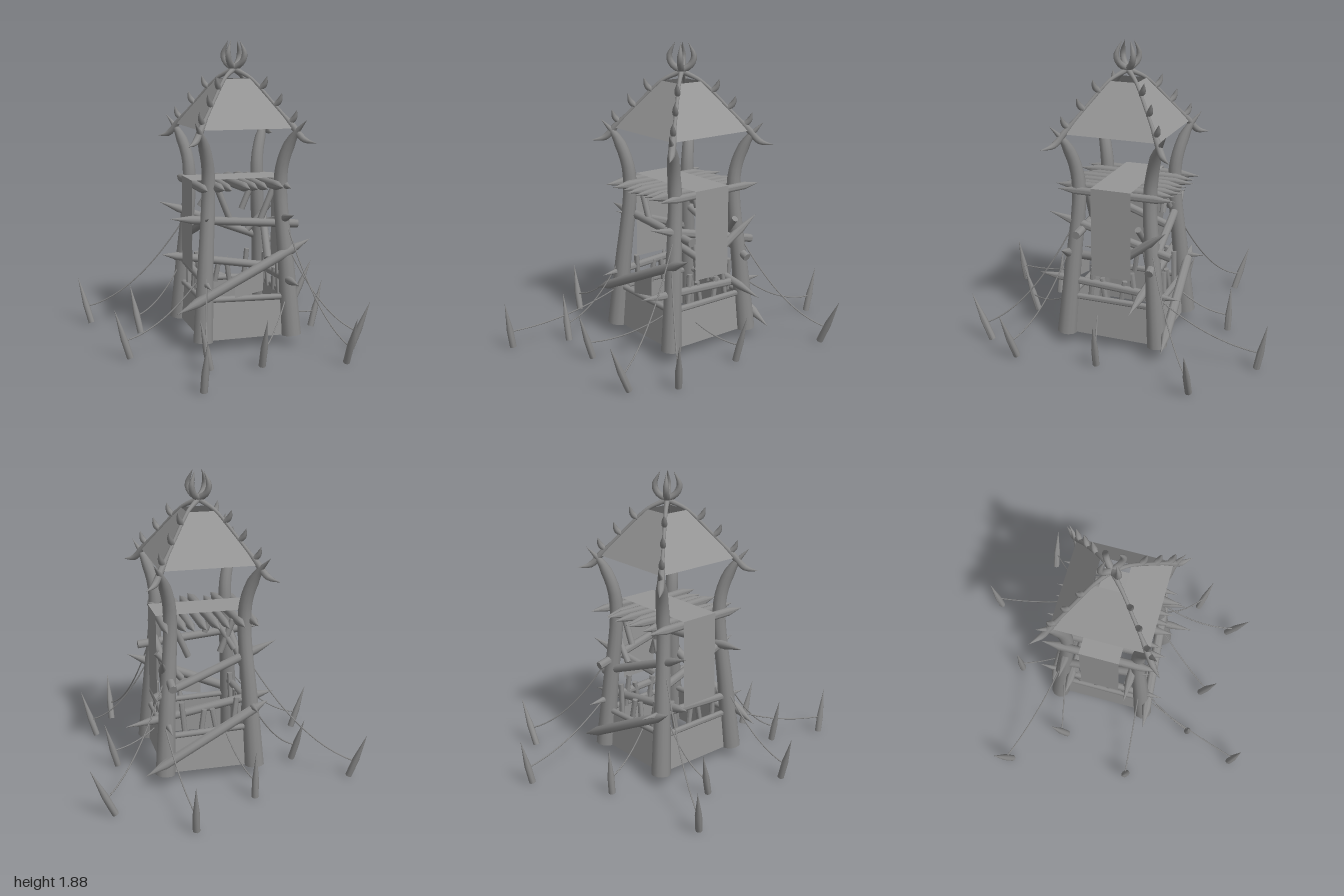
import * as THREE from 'three';
import { toCreasedNormals } from 'three/addons/utils/BufferGeometryUtils.js';

const CX = 0.065, CZ = -0.02; // tower axis
const V = (x, y, z) => new THREE.Vector3(x, y, z);
const wood = new THREE.MeshStandardMaterial({ color: 0x8a8a8a });
const hide = new THREE.MeshStandardMaterial({ color: 0x969696, side: THREE.DoubleSide, flatShading: true });

export function createModel() {
  const root = new THREE.Group();
  root.name = 'watchtower';

  function add(name, geometry, material = wood) {
    const mesh = new THREE.Mesh(geometry, material);
    mesh.name = name;
    root.add(mesh);
    return mesh;
  }

  // Straight log from a to b; tipA / tipB are the lengths of its sharpened ends
  function log(name, a, b, r, tipA = 0, tipB = 0) {
    const A = V(...a), dir = V(...b).sub(A), len = dir.length();
    const profile = [[0, 0], [r, tipA], [r, len - tipB], [0, len]].map(p => new THREE.Vector2(...p));
    const mesh = add(name, toCreasedNormals(new THREE.LatheGeometry(profile, 10), 0.7));
    mesh.position.copy(A);
    mesh.quaternion.setFromUnitVectors(V(0, 1, 0), dir.normalize());
  }

  // Curved limb whose radius is interpolated from a list along its length
  function limb(name, points, radii, steps = 28, sides = 12) {
    const curve = new THREE.CatmullRomCurve3(points);
    const geo = new THREE.TubeGeometry(curve, steps, 1, sides);
    const pos = geo.attributes.position, v = V(0, 0, 0);
    for (let i = 0; i <= steps; i++) {
      const c = curve.getPointAt(i / steps);
      const f = (i / steps) * (radii.length - 1), k = Math.min(Math.floor(f), radii.length - 2);
      const r = THREE.MathUtils.lerp(radii[k], radii[k + 1], f - k);
      for (let j = 0; j <= sides; j++) {
        const n = i * (sides + 1) + j;
        v.fromBufferAttribute(pos, n).sub(c).multiplyScalar(r).add(c);
        pos.setXYZ(n, v.x, v.y, v.z);
      }
    }
    add(name, geo);
  }

  // Four tusk-like legs, hip poles and thorns, one set per corner
  for (const sx of [-1, 1]) for (const sz of [-1, 1]) {
    const at = (h, y, hz = h) => V(CX + sx * h, y, CZ + sz * hz);
    limb('leg', [at(0.285, 0.07, 0.3), at(0.26, 0.5, 0.265), at(0.23, 0.98, 0.228), at(0.24, 1.15, 0.245),
      at(0.29, 1.31, 0.295), at(0.348, 1.41, 0.363)], [0.062, 0.057, 0.052, 0.047, 0.044, 0.042, 0.036, 0]);
    const cap = add('legFoot', new THREE.CircleGeometry(0.062, 12));
    cap.rotation.x = Math.PI / 2;
    cap.position.copy(at(0.285, 0.071, 0.3));

    limb('hipPole', [at(0.4, 1.27), at(0.34, 1.29), at(0.29, 1.362), at(0.19, 1.507), at(0.085, 1.65), at(0.01, 1.705),
      at(-0.04, 1.75), at(-0.053, 1.8), at(-0.028, 1.885)],
    [0, 0.021, 0.021, 0.012, 0.011, 0.011, 0.011, 0.014, 0.021, 0.019, 0], 44, 8);

    for (const y of [1.385, 1.485, 1.585]) {
      const h = 0.29 - (y - 1.355) * 0.71;
      limb('hipThorn', [at(h, y), at(h + 0.024, y + 0.034), at(h + 0.036, y + 0.082)], [0.01, 0.02, 0.014, 0], 8, 8);
    }
  }

  // Roof hides and plank skirt: open four-sided frustums
  const frustum = (name, top, bottom, y0, y1, zScale) => {
    const geo = new THREE.CylinderGeometry(top * Math.SQRT2, bottom * Math.SQRT2, y1 - y0, 4, 1, true);
    geo.rotateY(Math.PI / 4).scale(1, 1, zScale).translate(CX, (y0 + y1) / 2, CZ);
    add(name, geo, hide);
  };
  frustum('roof', 0.09, 0.3, 1.355, 1.65, 1);
  frustum('baseSkirt', 0.268, 0.283, 0.07, 0.32, 1.04);

  // Rails on top of the skirt
  for (const s of [-1, 1]) {
    log('skirtRail', [-0.2, 0.325, CZ + s * 0.28], [0.33, 0.31, CZ + s * 0.28], 0.019);
    log('skirtRail', [CX + s * 0.27, 0.315, -0.28], [CX + s * 0.27, 0.315, 0.25], 0.019);
  }

  // Deck of sharpened logs
  [-0.21, -0.12, -0.04, 0.035, 0.105, 0.175, 0.24, 0.33].forEach((x, i) => {
    const w = Math.sin(i * 2.4);
    log('deckLog', [x - w * 0.015, 1.005 - w * 0.006, -0.4 + w * 0.02], [x + w * 0.015, 1.005 + w * 0.006, 0.36 + w * 0.02],
      0.027 + 0.003 * w, 0.12, 0.12);
  });

  // Cloth draped over the deck and hanging down both sides
  const drape = new THREE.PlaneGeometry(1, 1, 1, 3);
  [[0.362, 0.48], [0.362, 1.037], [-0.24, 1.037], [-0.24, 0.48]].forEach(([x, y], i) => {
    drape.attributes.position.setXYZ(i * 2, x, y, 0.105);
    drape.attributes.position.setXYZ(i * 2 + 1, x, y, -0.15);
  });
  add('drapedCloth', drape, hide);

  // Small cloth hanging from the front diagonal
  const rag = new THREE.PlaneGeometry(1, 1);
  [[-0.02, 0.435], [0.16, 0.518], [-0.02, 0.33], [0.16, 0.365]].forEach(([x, y], i) =>
    rag.attributes.position.setXYZ(i, x, y, 0.285));
  add('frontCloth', rag, hide);

  // Cross beams lashed to the legs
  const beams = [
    [[-0.39, 0.265, 0.32], [0.48, 0.665, 0.25], 0.03, 0.14, 0.14],
    [[-0.4, 0.82, 0.18], [0.42, 0.75, 0.18], 0.026, 0.14, 0],
    [[-0.36, 0.515, -0.225], [0.58, 0.36, -0.22], 0.026, 0.1, 0.18],
    [[-0.37, 0.86, -0.25], [0.4, 0.56, -0.28], 0.026, 0.14, 0],
    [[-0.3, 0.5, -0.33], [0.485, 0.1, -0.39], 0.03, 0.1, 0.14],
    [[0.31, 0.845, 0.41], [0.31, 0.645, -0.385], 0.026, 0.16, 0],
    [[0.32, 0.43, 0.48], [0.33, 0.385, -0.46], 0.024, 0.14, 0.14],
    [[0.37, 0.82, -0.375], [0.28, 0.5, 0.03], 0.026, 0.14, 0],
    [[-0.2, 0.42, 0.4], [-0.2, 0.475, -0.45], 0.024, 0.14, 0.14],
    [[-0.19, 0.62, -0.3], [-0.19, 0.83, 0.3], 0.026, 0, 0.14],
  ];
  beams.forEach(b => log('crossBeam', ...b));

  // Braces under the deck
  for (const z of [-0.22, 0.17]) {
    log('deckBrace', [-0.1, 1, z], [-0.02, 0.8, z], 0.02);
    log('deckBrace', [0.27, 1, z], [0.18, 0.79, z], 0.02);
  }
  log('deckBrace', [0, 1, -0.2], [-0.1, 0.82, -0.24], 0.018);
  log('deckBrace', [0.37, 0.82, -0.2], [0.22, 0.65, -0.22], 0.02);

  // Short leaning palisade stubs on the back and both sides
  for (let i = 0; i < 4; i++) {
    const t = -0.15 + i * 0.1, lean = 0.035 * Math.sin(i * 3 + 1), top = 0.47 + 0.04 * Math.cos(i * 2.1);
    log('palisadeStub', [CX + t, 0.3, -0.28], [CX + t - lean, top, -0.27], 0.017);
    for (const s of [-1, 1])
      log('palisadeStub', [CX + s * 0.255, 0.3, CZ + t], [CX + s * 0.25, top, CZ + t + lean * s], 0.017);
  }

  // Ground stakes: [base x, z, tip x, z] and the point where the rope is tied
  const stakes = [
    [0.3, -0.93, 0.315, -0.99, 0.35, 0.4, -0.31],
    [-0.13, -0.635, -0.13, -0.65, -0.03, 0.32, -0.3],
    [0.71, -0.635, 0.85, -0.645, 0.33, 0.7, -0.27],
    [-0.78, -0.51, -0.855, -0.59, -0.19, 0.75, -0.26],
    [-0.51, -0.19, -0.56, -0.28, -0.19, 0.5, -0.28],
    [0.6, -0.02, 0.68, -0.035, 0.34, 0.2, 0.08],
    [-0.67, 0.285, -0.76, 0.27, -0.2, 0.5, 0.24],
    [-0.27, 0.62, -0.33, 0.62, -0.19, 0.55, 0.25],
    [-0.4, 0.95, -0.39, 1.0, -0.2, 0.32, 0.28],
    [0.035, 0.64, 0.035, 0.735, 0.31, 0.3, 0.28],
    [0.67, 0.475, 0.76, 0.54, 0.34, 0.6, 0.27],
    [0.53, 0.72, 0.535, 0.85, 0.33, 0.75, 0.25],
  ];
  for (const [bx, bz, tx, tz, rx, ry, rz] of stakes) {
    log('groundStake', [bx, 0.015, bz], [tx, 0.315, tz], 0.021, 0, 0.19);
    const knot = V(bx, 0.015, bz).lerp(V(tx, 0.315, tz), 0.35);
    const tie = V(rx, ry, rz), mid = knot.clone().lerp(tie, 0.5);
    mid.y -= 0.32 * (ry - knot.y) + 0.02;
    add('guyRope', new THREE.TubeGeometry(new THREE.QuadraticBezierCurve3(knot, mid, tie), 14, 0.0045, 5));
  }
  return root;
}
